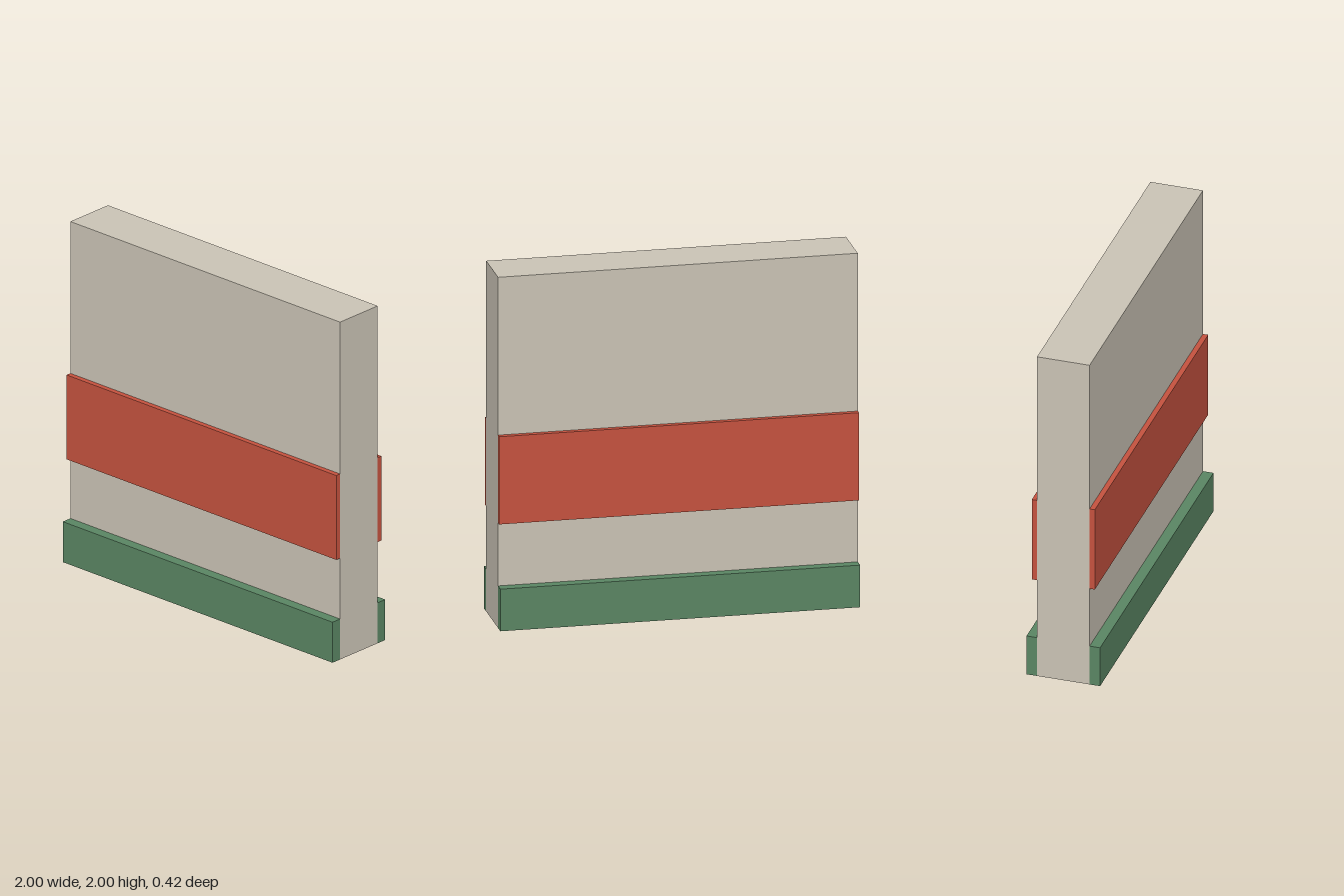
import * as THREE from 'three';

const stone = new THREE.MeshStandardMaterial({ name: 'stone', color: 0xcac3b5 });
const red = new THREE.MeshStandardMaterial({ name: 'red', color: 0xc5523f });
const green = new THREE.MeshStandardMaterial({ name: 'green', color: 0x5a8563 });

const LENGTH = 2;
const WALL_HALF = 0.15;

// Full-length box given by its bottom, top and z range
function slab(name, material, y0, y1, z0, z1) {
  const mesh = new THREE.Mesh(new THREE.BoxGeometry(LENGTH, y1 - y0, z1 - z0), material);
  mesh.name = name;
  mesh.position.set(0, (y0 + y1) / 2, (z0 + z1) / 2);
  return mesh;
}

export function createModel() {
  const model = new THREE.Group();
  model.name = 'wallPanel';

  // Main wall
  model.add(slab('wall', stone, 0, 2, -WALL_HALF, WALL_HALF));

  // Raised band and skirting on the front, mirrored to the back
  const trims = [
    ['Band', red, 0.6, 1.1, 0.03],
    ['Skirting', green, 0, 0.24, 0.06],
  ];
  for (const [part, material, y0, y1, depth] of trims) {
    model.add(slab('front' + part, material, y0, y1, WALL_HALF, WALL_HALF + depth));
    model.add(slab('back' + part, material, y0, y1, -WALL_HALF - depth, -WALL_HALF));
  }
  return model;
}
